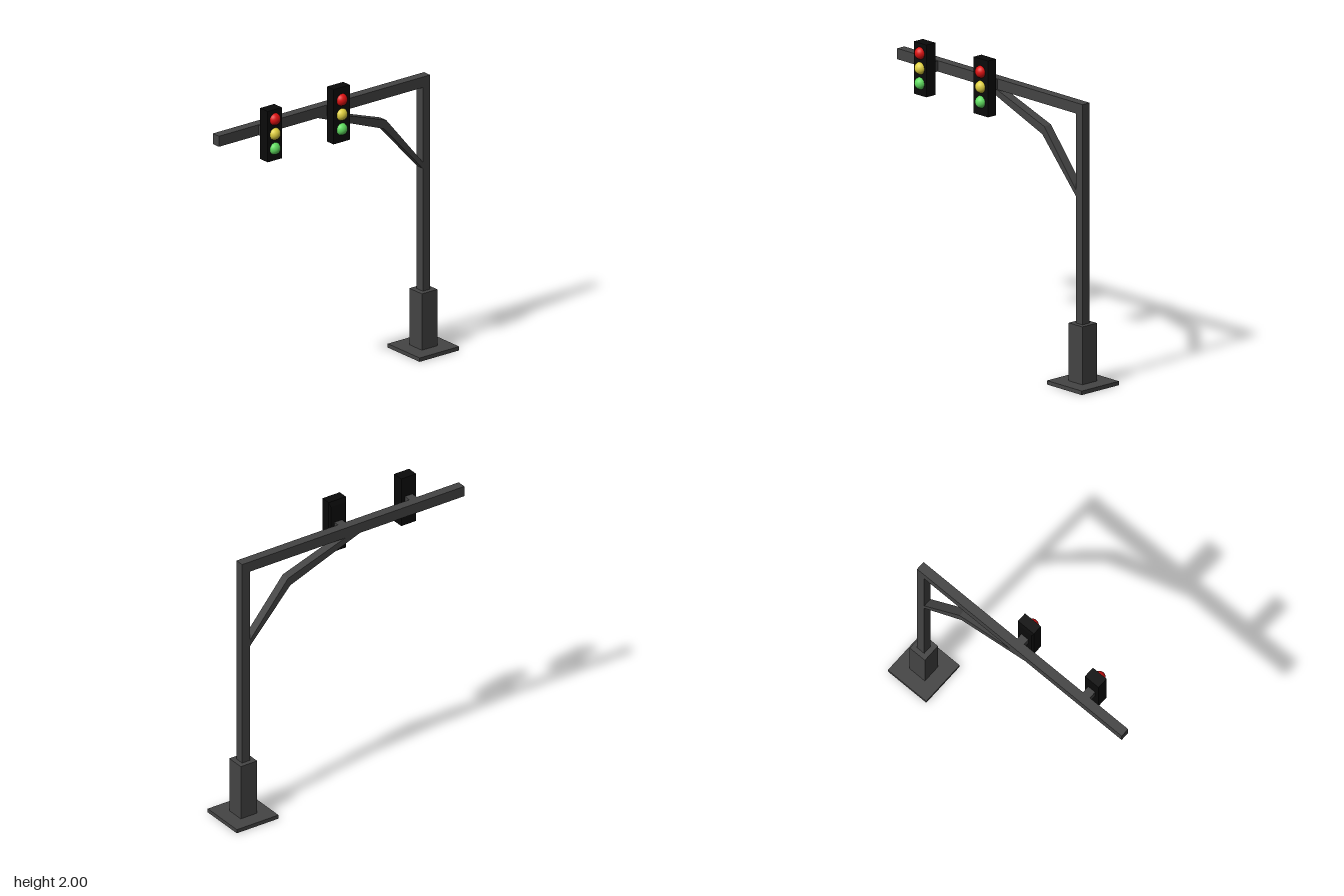
import * as THREE from 'three';

const mat = (color) => new THREE.MeshStandardMaterial({ color });

export function createModel() {
  const model = new THREE.Group();
  const steel = mat(0x444444);
  const black = mat(0x0a0a0a);
  const lampMats = [['redLamp', mat(0xdd1111)], ['yellowLamp', mat(0xe0d040)], ['greenLamp', mat(0x5fdc5f)]];

  const add = (parent, name, geometry, material) => {
    const mesh = new THREE.Mesh(geometry, material);
    mesh.name = name;
    parent.add(mesh);
    return mesh;
  };
  // Box given by its extents along each axis
  const box = (parent, name, [x0, x1], [y0, y1], [z0, z1], material = steel) => {
    const mesh = add(parent, name, new THREE.BoxGeometry(x1 - x0, y1 - y0, z1 - z0), material);
    mesh.position.set((x0 + x1) / 2, (y0 + y1) / 2, (z0 + z1) / 2);
    return mesh;
  };

  // Footing, post and overhanging arm
  const beamX = [-0.051, 0.011];
  box(model, 'basePlate', [-0.18, 0.14], [0, 0.026], [-0.917, -0.597]);
  box(model, 'postSleeve', [-0.083, 0.043], [0.026, 0.406], [-0.819, -0.693]);
  box(model, 'post', beamX, [0.406, 1.78], [-0.786, -0.727]);
  box(model, 'arm', beamX, [1.78, 1.851], [-0.786, 0.919]);

  // Bent brace: side profile in (z, y), extruded across x
  const profile = new THREE.Shape([
    [-0.74, 1.22], [-0.415, 1.577], [0.135, 1.785], [0.02, 1.785], [-0.432, 1.632], [-0.74, 1.262],
  ].map(([z, y]) => new THREE.Vector2(-z, y)));
  const braceGeometry = new THREE.ExtrudeGeometry(profile, { depth: 0.06, bevelEnabled: false });
  braceGeometry.rotateY(Math.PI / 2).translate(-0.05, 0, 0);
  add(model, 'brace', braceGeometry, steel);

  // Signal head with bracket, housing and three lamps facing +x
  const signal = (name, z, y0, y1, halfWidth, x0, x1, backInset, lampY) => {
    const head = new THREE.Group();
    head.name = name;
    model.add(head);
    box(head, 'bracket', [0.0, x0 + 0.02], [1.782, 1.849], [z - 0.029, z + 0.029]);
    const housing = box(head, 'housing', [x0, x1], [y0, y1], [z - halfWidth, z + halfWidth], black);
    if (backInset) {
      // Tapered back cover
      housing.scale.x = (x1 - x0 - 0.01) / (x1 - x0);
      housing.position.x += 0.005;
      const h = y1 - y0 - 2 * backInset;
      const cover = new THREE.CylinderGeometry(Math.SQRT1_2, Math.SQRT1_2 * 0.85, 1, 4, 1)
        .toNonIndexed();
      cover.rotateY(Math.PI / 4).rotateZ(-Math.PI / 2);
      cover.scale(0.01, h, halfWidth * 2);
      cover.computeVertexNormals();
      add(head, 'backCover', cover, black).position.set(x0 + 0.005, (y0 + y1) / 2, z);
    }
    lampMats.forEach(([lampName, material], i) => {
      const lamp = add(head, lampName, new THREE.SphereGeometry(0.04, 32, 20), material);
      lamp.position.set(x1 - 0.004, lampY - i * 0.099, z);
    });
  };
  signal('innerSignal', 0.023, 1.63, 2.0, 0.066, 0.052, 0.129, 0.005, 1.916);
  signal('outerSignal', 0.571, 1.643, 1.986, 0.057, 0.062, 0.139, 0, 1.921);

  return model;
}
